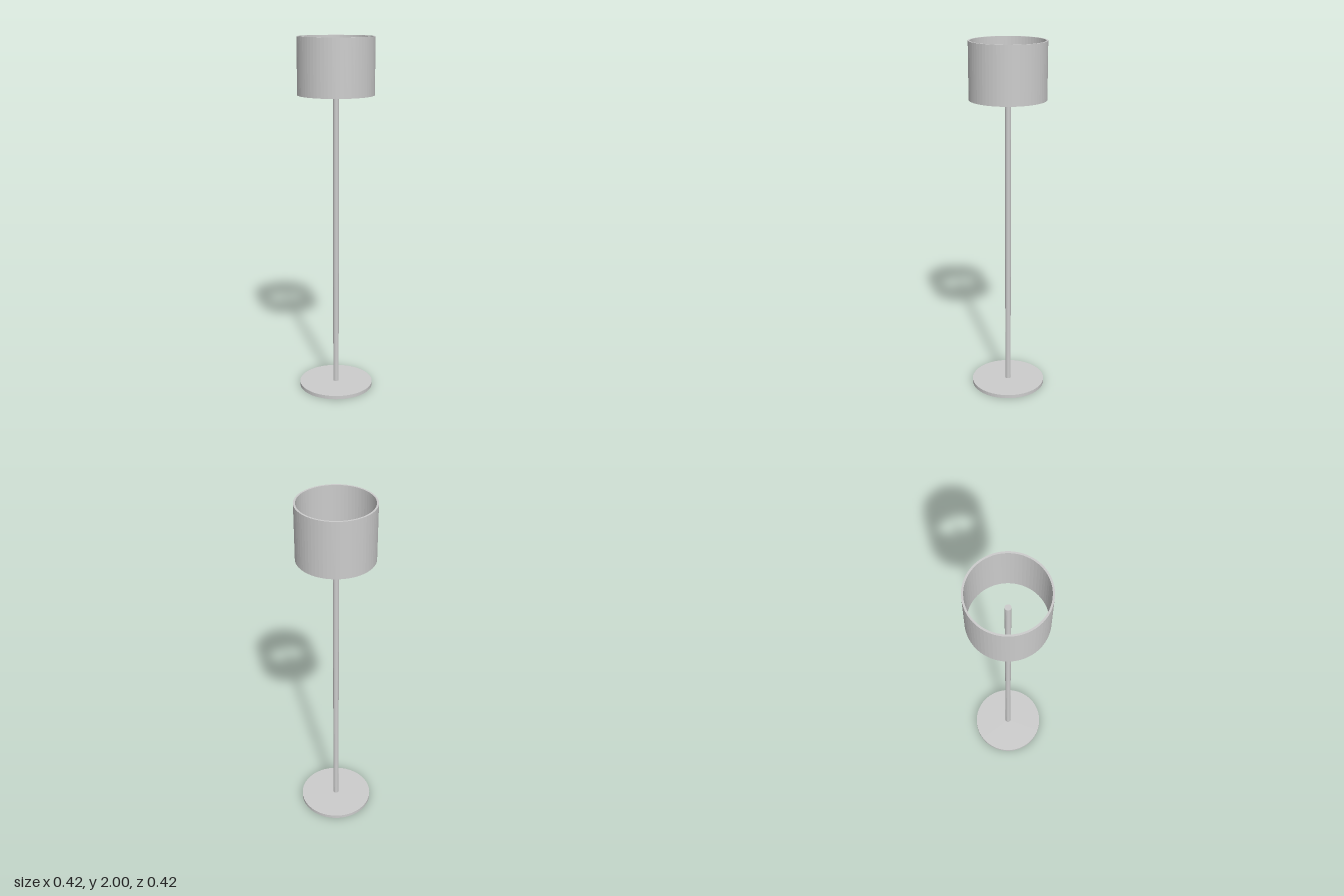
import * as THREE from 'three';

const SEGMENTS = 64;
const RADIUS = 0.21;      // shared by base and shade
const BASE_HEIGHT = 0.02;
const POLE_TOP = 1.845;   // pole ends halfway up inside the shade
const SHADE_BOTTOM = 1.69;
const SHADE_TOP = 2;

export function createModel() {
  const lamp = new THREE.Group();
  lamp.name = 'floorLamp';
  const material = new THREE.MeshStandardMaterial({ color: 0xcccccc, flatShading: true });

  const add = (name, geometry, y) => {
    const mesh = new THREE.Mesh(geometry, material);
    mesh.name = name;
    mesh.position.y = y;
    lamp.add(mesh);
  };

  // Flat round foot
  add('base', new THREE.CylinderGeometry(RADIUS, RADIUS, BASE_HEIGHT, SEGMENTS), BASE_HEIGHT / 2);

  // Slim upright
  const poleHeight = POLE_TOP - BASE_HEIGHT;
  add('pole', new THREE.CylinderGeometry(0.016, 0.016, poleHeight, 32), BASE_HEIGHT + poleHeight / 2);

  // Open drum with wall thickness: closed rectangular section, revolved
  const inner = 0.2;
  const height = SHADE_TOP - SHADE_BOTTOM;
  const section = [
    [inner, 0], [RADIUS, 0], [RADIUS, height], [inner, height], [inner, 0],
  ].map(([r, y]) => new THREE.Vector2(r, y));
  add('shade', new THREE.LatheGeometry(section, SEGMENTS), SHADE_BOTTOM);

  return lamp;
}
